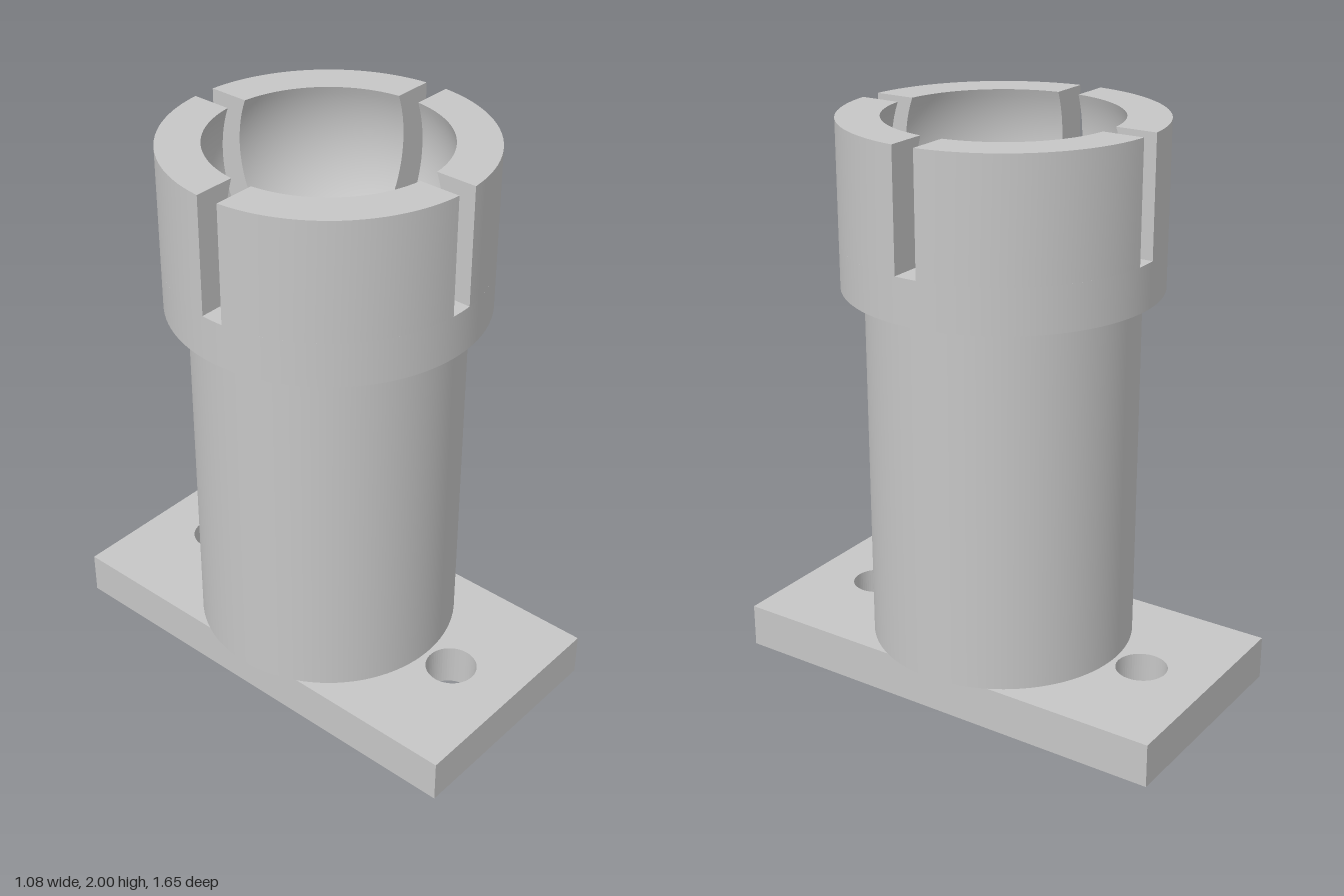
import * as THREE from 'three';
import { mergeGeometries } from 'three/addons/utils/BufferGeometryUtils.js';

const BASE_TOP = 0.155, CUP_BOTTOM = 1.435, SLOT_FLOOR = 1.59, TOP = 2;
const SHAFT_R = 0.462, CUP_R = 0.54, HALF_SLOT = 0.04;
const BALL_R = 0.425, BALL_Y = 1.845, CAVITY_FLOOR = 1.45;

const cavityRadius = (y) => Math.sqrt(BALL_R ** 2 - (y - BALL_Y) ** 2);

// spherical cavity profile, running downwards
function cavity(yFrom, yTo, steps) {
  const a = Math.asin((yFrom - BALL_Y) / BALL_R), b = Math.asin((yTo - BALL_Y) / BALL_R);
  return Array.from({ length: steps + 1 }, (_, i) => {
    const t = a + (b - a) * i / steps;
    return [BALL_R * Math.cos(t), BALL_Y + BALL_R * Math.sin(t)];
  });
}

// revolve each smooth stretch on its own so the edges between them stay sharp
function revolve(stretches) {
  return mergeGeometries(stretches.map((pts) =>
    new THREE.LatheGeometry(pts.map(([r, y]) => new THREE.Vector2(r, y)), 96)));
}

// sweep a stretch through one quadrant, stopping at the parallel slot walls
function sweepQuadrant(pts, segments = 24) {
  const pos = [], index = [], row = segments + 1;
  pts.forEach(([r, y], i) => {
    const a0 = Math.asin(HALF_SLOT / r), span = Math.PI / 2 - 2 * a0;
    for (let j = 0; j <= segments; j++) {
      const a = a0 + span * j / segments;
      pos.push(r * Math.cos(a), y, r * Math.sin(a));
      if (i < pts.length - 1 && j < segments) {
        const p = i * row + j;
        index.push(p, p + row, p + 1, p + 1, p + row, p + row + 1);
      }
    }
  });
  const g = new THREE.BufferGeometry();
  g.setAttribute('position', new THREE.Float32BufferAttribute(pos, 3));
  g.setIndex(index);
  g.computeVertexNormals();
  return g;
}

// flat slot wall with the prong's cross-section
function slotWall(profile, sign) {
  const g = new THREE.ShapeGeometry(new THREE.Shape(profile.map(([r, y]) =>
    new THREE.Vector2(sign * Math.sqrt(r * r - HALF_SLOT ** 2), y))));
  g.deleteAttribute('uv');
  return sign > 0
    ? g.rotateY(-Math.PI / 2).translate(HALF_SLOT, 0, 0)
    : g.rotateY(Math.PI).translate(0, 0, HALF_SLOT);
}

export function createModel() {
  const model = new THREE.Group();
  const grey = new THREE.MeshStandardMaterial({ color: 0xc6c6c6 });
  grey.name = 'grey';
  const add = (name, geometry) => {
    const mesh = new THREE.Mesh(geometry, grey);
    mesh.name = name;
    model.add(mesh);
    return mesh;
  };

  // mounting plate with two screw holes
  const plate = new THREE.Shape();
  plate.moveTo(-0.412, -0.825).lineTo(0.412, -0.825).lineTo(0.412, 0.825).lineTo(-0.412, 0.825).closePath();
  for (const z of [-0.57, 0.57]) {
    plate.holes.push(new THREE.Path().absarc(0, z, 0.09, 0, Math.PI * 2, true));
  }
  add('basePlate', new THREE.ExtrudeGeometry(plate, { depth: BASE_TOP, bevelEnabled: false, curveSegments: 32 })
    .rotateX(-Math.PI / 2));

  // solid round shaft
  add('shaft', revolve([
    [[0, BASE_TOP], [SHAFT_R, BASE_TOP]],
    [[SHAFT_R, BASE_TOP], [SHAFT_R, CUP_BOTTOM]],
  ]));

  // lower cup ring, whose top forms the slot floors
  const slotR = cavityRadius(SLOT_FLOOR), floorR = cavityRadius(CAVITY_FLOOR);
  add('cupRing', revolve([
    [[SHAFT_R, CUP_BOTTOM], [CUP_R, CUP_BOTTOM]],
    [[CUP_R, CUP_BOTTOM], [CUP_R, SLOT_FLOOR]],
    [[CUP_R, SLOT_FLOOR], [slotR, SLOT_FLOOR]],
    cavity(SLOT_FLOOR, CAVITY_FLOOR, 14),
    [[floorR, CAVITY_FLOOR], [0, CAVITY_FLOOR]],
  ]));

  // four gripping prongs separated by slots
  const mouthR = cavityRadius(TOP);
  const outer = [[CUP_R, SLOT_FLOOR], [CUP_R, TOP]];
  const rim = [[CUP_R, TOP], [mouthR, TOP]];
  const inner = cavity(TOP, SLOT_FLOOR, 16);
  const section = [...outer, ...inner];
  const prong = mergeGeometries([
    ...[outer, rim, inner].map((s) => sweepQuadrant(s)),
    slotWall(section, 1), slotWall(section, -1),
  ]);
  for (let i = 0; i < 4; i++) add('prong' + (i + 1), prong).rotation.y = i * Math.PI / 2;

  return model;
}
